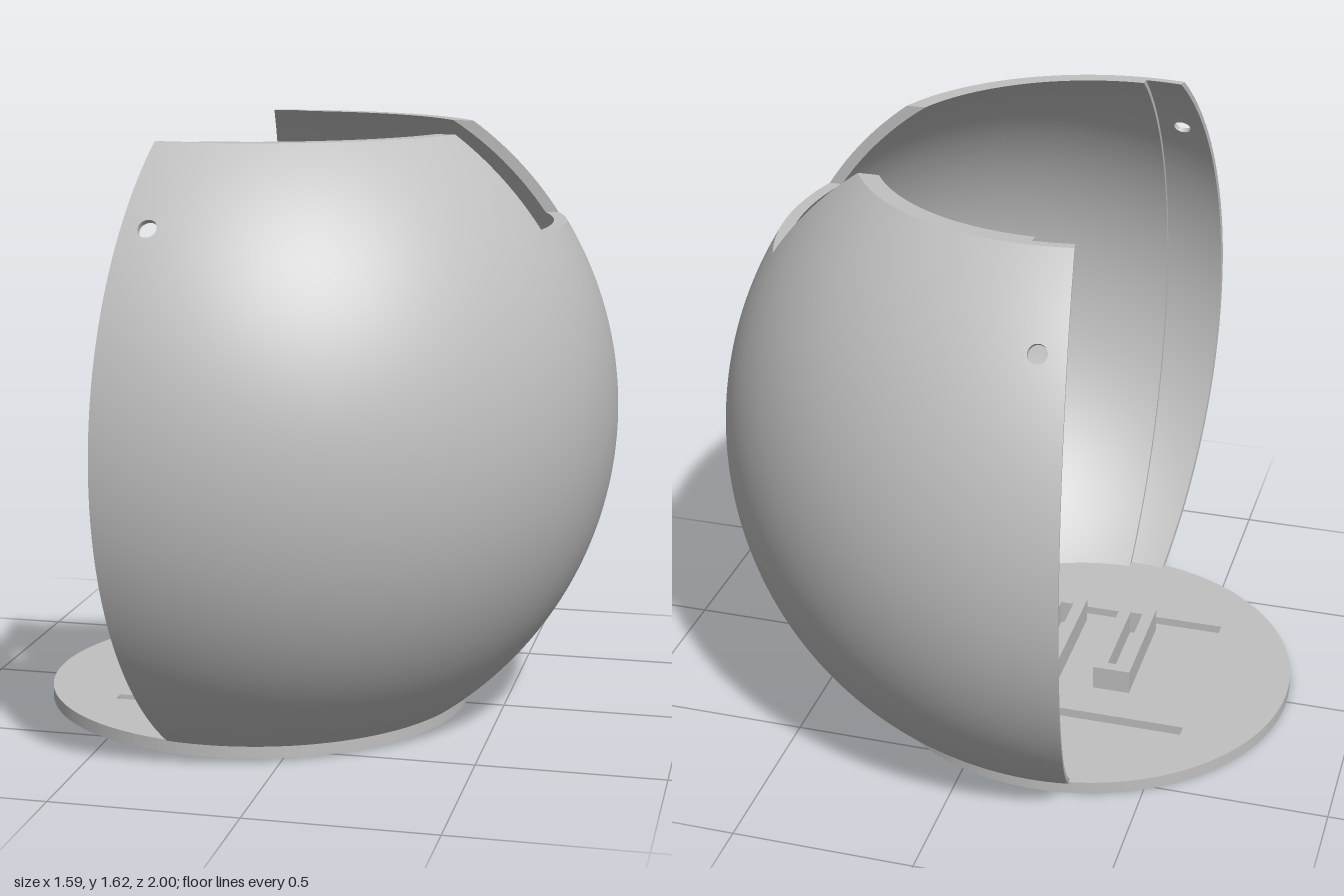
import * as THREE from 'three';
import { mergeGeometries } from 'three/addons/utils/BufferGeometryUtils.js';

const CX = -0.205, CY = 0.833;          // centre of the sphere
const Y0 = 0.035, Y1 = 1.615;           // flat cuts at the bottom and top
const R_OUT = 1, R_IN = 0.97, R_LIP = 0.985;
const DEG = Math.PI / 180;
const lerp = THREE.MathUtils.lerp;

const ringRadius = (R, y) => Math.sqrt(R * R - (y - CY) ** 2);
const spherePoint = (R, phi, y) => {
  const r = ringRadius(R, y);
  return new THREE.Vector3(CX + r * Math.cos(phi), y, r * Math.sin(phi));
};

// Grid surface from fn(u, v); radial = +1/-1 gives exact sphere normals
function surface(fn, nu, nv, flip = false, radial = 0) {
  const pos = [], nor = [], idx = [];
  for (let j = 0; j <= nv; j++) for (let i = 0; i <= nu; i++) {
    const p = fn(i / nu, j / nv);
    pos.push(p.x, p.y, p.z);
    const n = new THREE.Vector3(p.x - CX, p.y - CY, p.z).normalize().multiplyScalar(radial || 1);
    nor.push(n.x, n.y, n.z);
    if (i < nu && j < nv) {
      const a = j * (nu + 1) + i, b = a + 1, c = a + nu + 1, d = c + 1;
      if (flip) idx.push(a, d, b, a, c, d);
      else idx.push(a, b, d, a, d, c);
    }
  }
  const g = new THREE.BufferGeometry();
  g.setAttribute('position', new THREE.Float32BufferAttribute(pos, 3));
  g.setAttribute('normal', new THREE.Float32BufferAttribute(nor, 3));
  g.setIndex(idx);
  if (!radial) g.computeVertexNormals();
  return g;
}

// Radial end face of a shell piece
const endFace = (phi, y0, y1, Ro, Ri, n, flip) => surface((u, v) => {
  const y = lerp(y0, y1, u), R = lerp(Ri, Ro, v);
  return spherePoint(R, phi(R, y), y);
}, n, 1, flip);

// Solid piece of shell between two longitudes phiA(R, y) < phiB(R, y) and two heights
function shellPiece(phiA, phiB, y0, y1, Ro, Ri, nu, nv) {
  const a0 = Math.asin(y0 - CY), a1 = Math.asin(y1 - CY);
  const at = (R, u, y) => spherePoint(R, lerp(phiA(R, y), phiB(R, y), u), y);
  const wall = R => (u, v) => at(R, u, CY + Math.sin(lerp(a0, a1, v)));
  const cap = y => (u, v) => at(lerp(Ri, Ro, v), u, y);
  return [
    surface(wall(Ro), nu, nv, true, 1),
    surface(wall(Ri), nu, nv, false, -1),
    surface(cap(y1), nu, 1),
    surface(cap(y0), nu, 1, true),
    endFace(phiA, y0, y1, Ro, Ri, nv, false),
    endFace(phiB, y0, y1, Ro, Ri, nv, true),
  ];
}

// Piece of shell with a round radial hole through its middle
function holedPiece(phi, dPhi, lat, dLat, rho, Ro, Ri) {
  const s = Math.sin(lat), c = Math.cos(lat), cp = Math.cos(phi), sp = Math.sin(phi);
  const n = new THREE.Vector3(c * cp, s, c * sp);
  const e1 = new THREE.Vector3(-sp, 0, cp), e2 = new THREE.Vector3(-s * cp, c, -s * sp);
  const centre = new THREE.Vector3(CX, CY, 0);
  const circle = (R, a) => centre.clone().addScaledVector(n, Math.sqrt(R * R - rho * rho))
    .addScaledVector(e1, rho * Math.cos(a)).addScaledVector(e2, rho * Math.sin(a));
  const ring = R => (u, v) => {
    const a = u * Math.PI * 2, x = Math.cos(a), y = Math.sin(a), m = Math.max(Math.abs(x), Math.abs(y));
    const edge = spherePoint(R, phi + dPhi * x / m, CY + Math.sin(lat + dLat * y / m));
    return circle(R, a).lerp(edge, v).sub(centre).setLength(R).add(centre);
  };
  return [
    surface(ring(Ro), 48, 4, false, 1),
    surface(ring(Ri), 48, 4, true, -1),
    surface((u, v) => circle(lerp(Ri, Ro, v), u * Math.PI * 2), 48, 1),
  ];
}

// Plate lying flat: outline and holes drawn in x and -z
function plate(shape, height, y) {
  const g = new THREE.ExtrudeGeometry(shape, { depth: height, bevelEnabled: false, curveSegments: 96 });
  return g.rotateX(-Math.PI / 2).translate(0, y, 0);
}
function rect(target, x0, x1, z0, z1) {
  target.moveTo(x0, -z0).lineTo(x0, -z1).lineTo(x1, -z1).lineTo(x1, -z0).closePath();
  return target;
}

export function createModel() {
  const model = new THREE.Group();
  const grey = new THREE.MeshStandardMaterial({ color: 0xc0c0c0, side: THREE.DoubleSide });
  grey.name = 'light grey';
  const add = (name, geometry) => {
    const mesh = new THREE.Mesh(geometry, grey);
    mesh.name = name;
    model.add(mesh);
  };

  // Main half sphere, with a square notch in the rim
  const notchY = 1.362, quarter = Math.PI / 2;
  const lon = a => () => a;
  const atZ = z => (R, y) => Math.asin(z / ringRadius(R, y));
  add('shell', mergeGeometries([
    ...shellPiece(lon(-quarter), lon(quarter), Y0, notchY, R_OUT, R_IN, 96, 64),
    ...shellPiece(lon(-quarter), atZ(-0.297), notchY, Y1, R_OUT, R_IN, 40, 14),
    ...shellPiece(atZ(0.214), lon(quarter), notchY, Y1, R_OUT, R_IN, 40, 14),
  ]));

  // Thinner lips along both open edges, each with a screw hole
  const lat = Math.asin(0.587), dLat = 0.07;
  const ya = CY + Math.sin(lat - dLat), yb = CY + Math.sin(lat + dLat);
  for (const side of [1, -1]) {
    const edges = [side * 90 * DEG, side * 100 * DEG].sort((a, b) => a - b);
    const [A, B] = edges.map(lon);
    add(side > 0 ? 'frontLip' : 'backLip', mergeGeometries([
      ...shellPiece(A, B, Y0, ya, R_OUT, R_LIP, 8, 56),
      ...holedPiece(side * 95 * DEG, 5 * DEG, lat, dLat, 0.025, R_OUT, R_LIP),
      endFace(lon(side * 100 * DEG), ya, yb, R_OUT, R_LIP, 8, side > 0),
      ...shellPiece(A, B, yb, Y1, R_OUT, R_LIP, 8, 8),
    ]));
  }

  // Round base with two long slots and a cable hole
  const disc = new THREE.Shape().absarc(CX, 0, 0.595, 0, Math.PI * 2);
  disc.holes.push(
    rect(new THREE.Path(), -0.55, 0.14, -0.29, -0.254),
    rect(new THREE.Path(), -0.55, 0.14, 0.25, 0.286),
    new THREE.Path().absarc(0.137, 0, 0.038, 0, Math.PI * 2, true),
  );
  add('base', plate(disc, Y0, 0));

  // Two raised holders with open sockets
  for (const [i, x] of [-0.312, -0.1].entries()) {
    const block = rect(new THREE.Shape(), x - 0.053, x + 0.053, -0.13, 0.216);
    block.holes.push(rect(new THREE.Path(), x - 0.018, x + 0.018, -0.098, 0.182));
    add('holder' + (i + 1), plate(block, 0.07, Y0));
  }
  return model;
}
